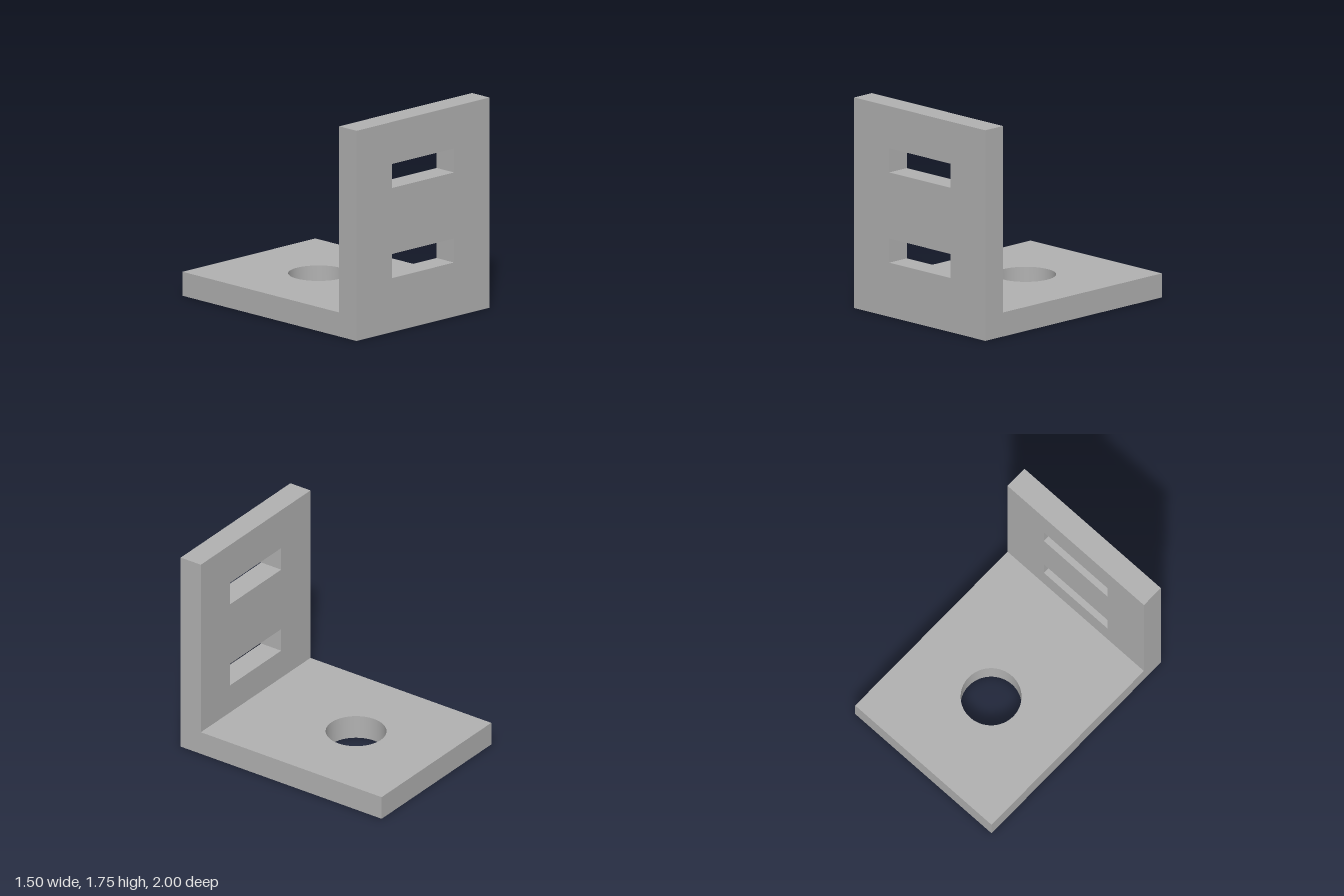
import * as THREE from 'three';
import { toCreasedNormals } from 'three/addons/utils/BufferGeometryUtils.js';

const WIDTH = 1.5, THICK = 0.2;

// Trace a rectangle centred on x = 0 onto a shape or path
function rect(path, width, y0, y1) {
  const h = width / 2;
  path.moveTo(-h, y0);
  path.lineTo(h, y0);
  path.lineTo(h, y1);
  path.lineTo(-h, y1);
  path.closePath();
  return path;
}

// Flat plate of the bracket's thickness with holes cut through it
function plate(name, y0, y1, holes, material) {
  const shape = rect(new THREE.Shape(), WIDTH, y0, y1);
  shape.holes.push(...holes);
  const geometry = new THREE.ExtrudeGeometry(shape, { depth: THICK, bevelEnabled: false, curveSegments: 64 });
  const mesh = new THREE.Mesh(toCreasedNormals(geometry, 0.5), material);
  mesh.name = name;
  return mesh;
}

export function createModel() {
  const grey = new THREE.MeshStandardMaterial({ color: 0xb2b2b2 });
  grey.name = 'grey metal';

  // Upright plate with two horizontal slots
  const slots = [0.45, 1.2].map((y) => rect(new THREE.Path(), 0.7, y, y + 0.2));
  const upright = plate('uprightPlate', 0, 1.75, slots, grey);
  upright.position.z = 0.8;

  // Base plate with a round bolt hole, laid flat behind the upright
  const boltHole = new THREE.Path().absarc(0, 0.2, 0.245, 0, Math.PI * 2, true);
  const base = plate('basePlate', -0.8, 1, [boltHole], grey);
  base.rotation.x = -Math.PI / 2;

  const bracket = new THREE.Group();
  bracket.name = 'angleBracket';
  bracket.add(upright, base);
  return bracket;
}
